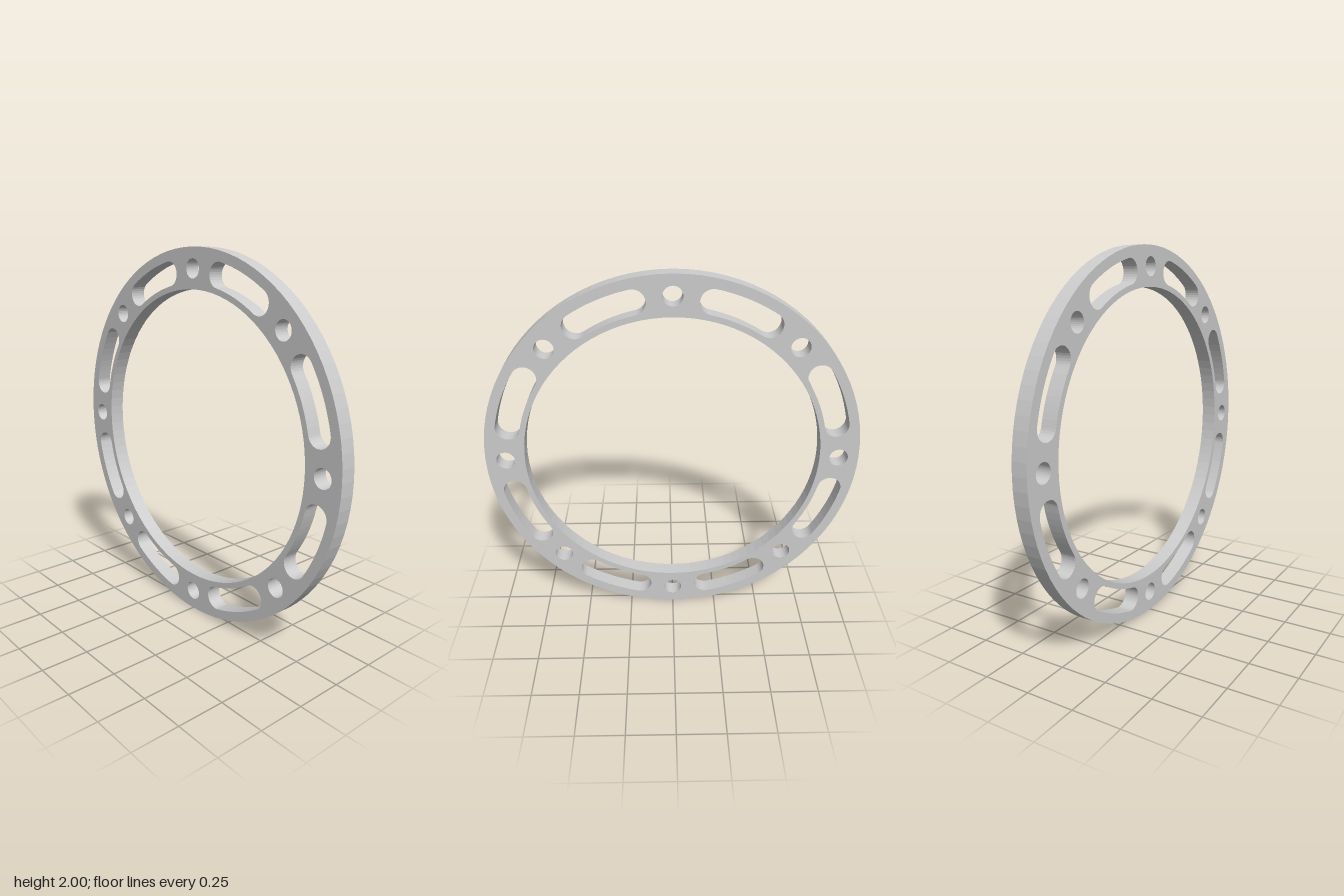
import * as THREE from 'three';

const OUTER = 1, INNER = 0.79, DEPTH = 0.083;
const BOLT_CIRCLE = 0.893, BOLT_RADIUS = 0.05;
const SLOT_CIRCLE = 0.884, SLOT_RADIUS = 0.064, SLOT_HALF_ANGLE = THREE.MathUtils.degToRad(9.9);
const COUNT = 8;

// Points along an arc, both ends included
function arc(cx, cy, r, from, to, steps) {
  return Array.from({ length: steps + 1 }, (_, i) => {
    const a = from + ((to - from) * i) / steps;
    return new THREE.Vector2(cx + r * Math.cos(a), cy + r * Math.sin(a));
  });
}

function circle(cx, cy, r, steps) {
  return arc(cx, cy, r, 0, Math.PI * 2, steps).slice(0, -1);
}

// Curved slot with round ends, centred on an angle
function slot(mid) {
  const a0 = mid - SLOT_HALF_ANGLE, a1 = mid + SLOT_HALF_ANGLE;
  const end = (a, start) => arc(SLOT_CIRCLE * Math.cos(a), SLOT_CIRCLE * Math.sin(a),
    SLOT_RADIUS, start, start + Math.PI, 16);
  return [
    ...arc(0, 0, SLOT_CIRCLE + SLOT_RADIUS, a0, a1, 8).slice(0, -1),
    ...end(a1, a1),
    ...arc(0, 0, SLOT_CIRCLE - SLOT_RADIUS, a1, a0, 8).slice(1, -1),
    ...end(a0, a0 + Math.PI).slice(0, -1),
  ];
}

export function createModel() {
  const group = new THREE.Group();
  group.name = 'slottedRing';

  // Ring outline with centre opening
  const shape = new THREE.Shape(circle(0, 0, OUTER, 96));
  shape.holes.push(new THREE.Path(circle(0, 0, INNER, 96)));

  // Alternating bolt holes and slots
  for (let i = 0; i < COUNT; i++) {
    const a = (i / COUNT) * Math.PI * 2;
    shape.holes.push(new THREE.Path(
      circle(BOLT_CIRCLE * Math.cos(a), BOLT_CIRCLE * Math.sin(a), BOLT_RADIUS, 32)));
    shape.holes.push(new THREE.Path(slot(a + Math.PI / COUNT)));
  }

  const geometry = new THREE.ExtrudeGeometry(shape, { depth: DEPTH, bevelEnabled: false });
  geometry.translate(0, OUTER, -DEPTH / 2);
  const ring = new THREE.Mesh(geometry, new THREE.MeshStandardMaterial({ color: 0xcccccc }));
  ring.name = 'ringPlate';
  group.add(ring);
  return group;
}
